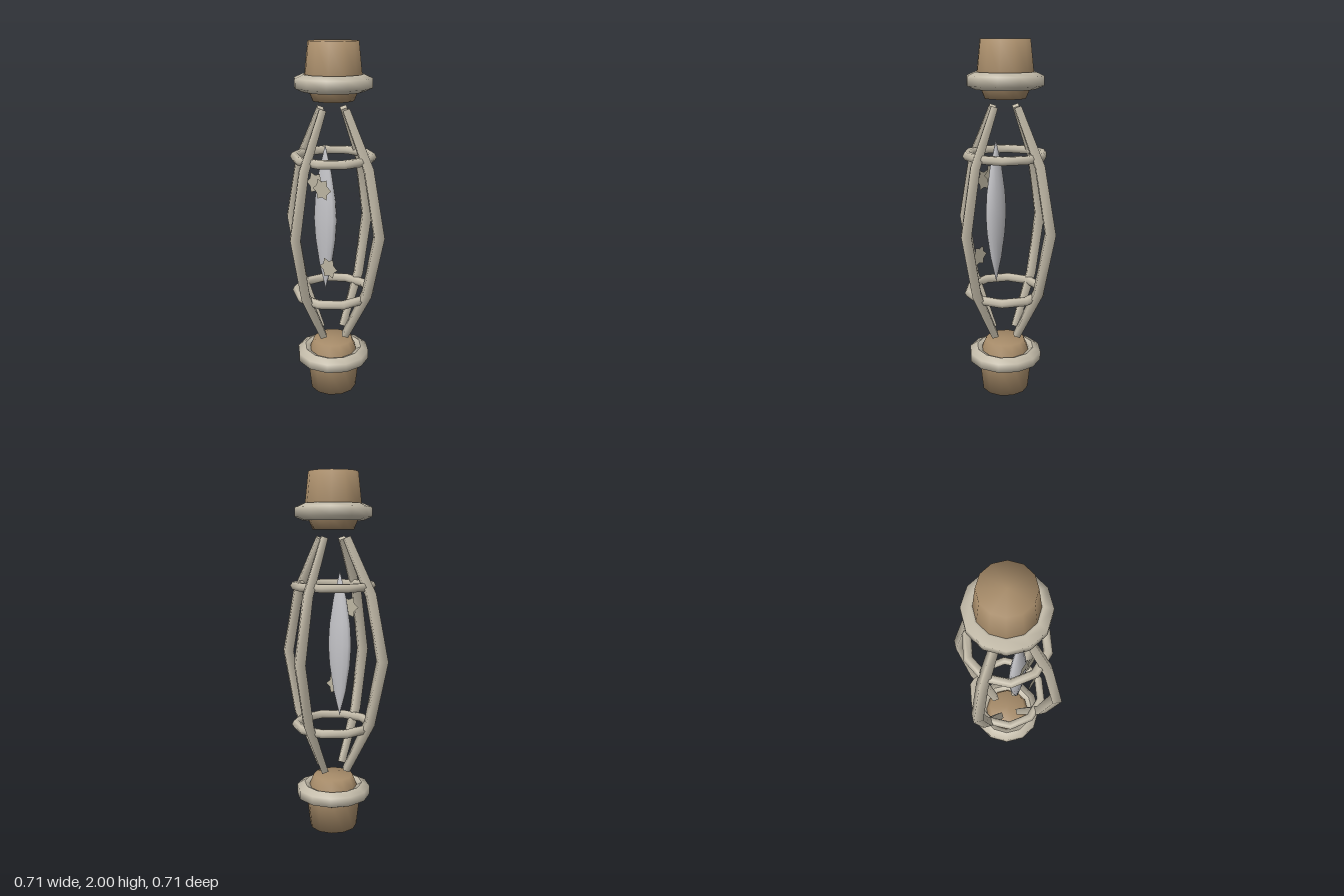
import * as THREE from 'three';

const mat = (name, color, extra = {}) => {
  const m = new THREE.MeshStandardMaterial({ color, ...extra });
  m.name = name;
  return m;
};
const V = (pairs) => pairs.map(([x, y]) => new THREE.Vector2(x, y));

function add(parent, name, geometry, material) {
  const mesh = new THREE.Mesh(geometry, material);
  mesh.name = name;
  parent.add(mesh);
  return mesh;
}

// Four-sided tapered bar bent along a bowed path in the x-y plane
function ribGeometry() {
  // x, y, radius, tilt (top to bottom)
  const rows = [
    [0.088, 1.65, 0.026, 0.47], [0.24, 1.35, 0.035, 0.34], [0.315, 1.0, 0.038, 0],
    [0.24, 0.65, 0.035, -0.34], [0.088, 0.35, 0.026, -0.47],
  ];
  const g = new THREE.CylinderGeometry(1, 1, 4, 4, 4);
  const p = g.attributes.position, n = g.attributes.normal;
  const axis = new THREE.Vector3(0, 0, 1), v = new THREE.Vector3();
  for (let i = 0; i < p.count; i++) {
    const [x, y, r, tilt] = rows[Math.round(2 - p.getY(i))];
    v.set(p.getX(i) * r, 0, p.getZ(i) * r).applyAxisAngle(axis, tilt);
    p.setXYZ(i, v.x + x, v.y + y, v.z);
    v.fromBufferAttribute(n, i).applyAxisAngle(axis, tilt);
    n.setXYZ(i, v.x, v.y, v.z);
  }
  return g;
}

// Flat six-pointed star
function starGeometry(r) {
  const pts = [];
  for (let i = 0; i < 12; i++) {
    const a = (i * Math.PI) / 6, d = i % 2 ? r * 0.68 : r;
    pts.push([d * Math.cos(a), d * Math.sin(a)]);
  }
  return new THREE.ShapeGeometry(new THREE.Shape(V(pts)));
}

export function createModel() {
  const root = new THREE.Group();
  root.name = 'cagedSpindle';
  const bone = mat('bone', 0xc4bcaa);
  const wood = mat('wood', 0xa58a68);
  const silver = mat('silver', 0xc4c4c8);
  const starMat = mat('star bone', 0xbdb6a2, { side: THREE.DoubleSide });

  // End caps with collars and hoops, the lower set turned upside down
  const capGeo = new THREE.LatheGeometry(
    V([[0, 0.695], [0.112, 0.695], [0.135, 0.75], [0.155, 0.82], [0.135, 1], [0, 1]]), 12);
  const collarGeo = new THREE.LatheGeometry(
    V([[0.165, 0.743], [0.21, 0.763], [0.21, 0.813], [0.165, 0.833],
      [0.125, 0.813], [0.125, 0.763], [0.165, 0.743]]), 12);
  const hoopGeo = new THREE.TorusGeometry(0.211, 0.025, 6, 10).rotateX(Math.PI / 2).translate(0, 0.393, 0);
  for (const [side, turn] of [['upper', 0], ['lower', Math.PI]]) {
    const end = new THREE.Group();
    end.name = side + 'End';
    end.position.y = 1;
    end.rotation.x = turn;
    add(end, side + 'Cap', capGeo, wood);
    add(end, side + 'Collar', collarGeo, bone);
    add(end, side + 'Hoop', hoopGeo, bone);
    root.add(end);
  }

  // Four bowed ribs
  const ribGeo = ribGeometry();
  for (let i = 0; i < 4; i++) add(root, 'rib' + (i + 1), ribGeo, bone).rotation.y = (i * Math.PI) / 2;

  // Pointed, flattened spindle inside the cage
  const spindle = add(root, 'spindle', new THREE.LatheGeometry(
    V([[0, 0.64], [0.042, 0.79], [0.068, 0.94], [0.076, 1.055], [0.068, 1.17], [0.042, 1.32], [0, 1.47]]), 12), silver);
  spindle.scale.z = 0.5;
  spindle.position.z = 0.067;

  // Flat stars in front of the spindle
  for (const [x, y, z, r] of [[-0.025, 1.265, 0.12, 0.064], [0.029, 1.24, 0.13, 0.063], [0.074, 0.803, 0.13, 0.062]]) {
    add(root, 'star', starGeometry(r), starMat).position.set(x, y, z);
  }
  return root;
}
